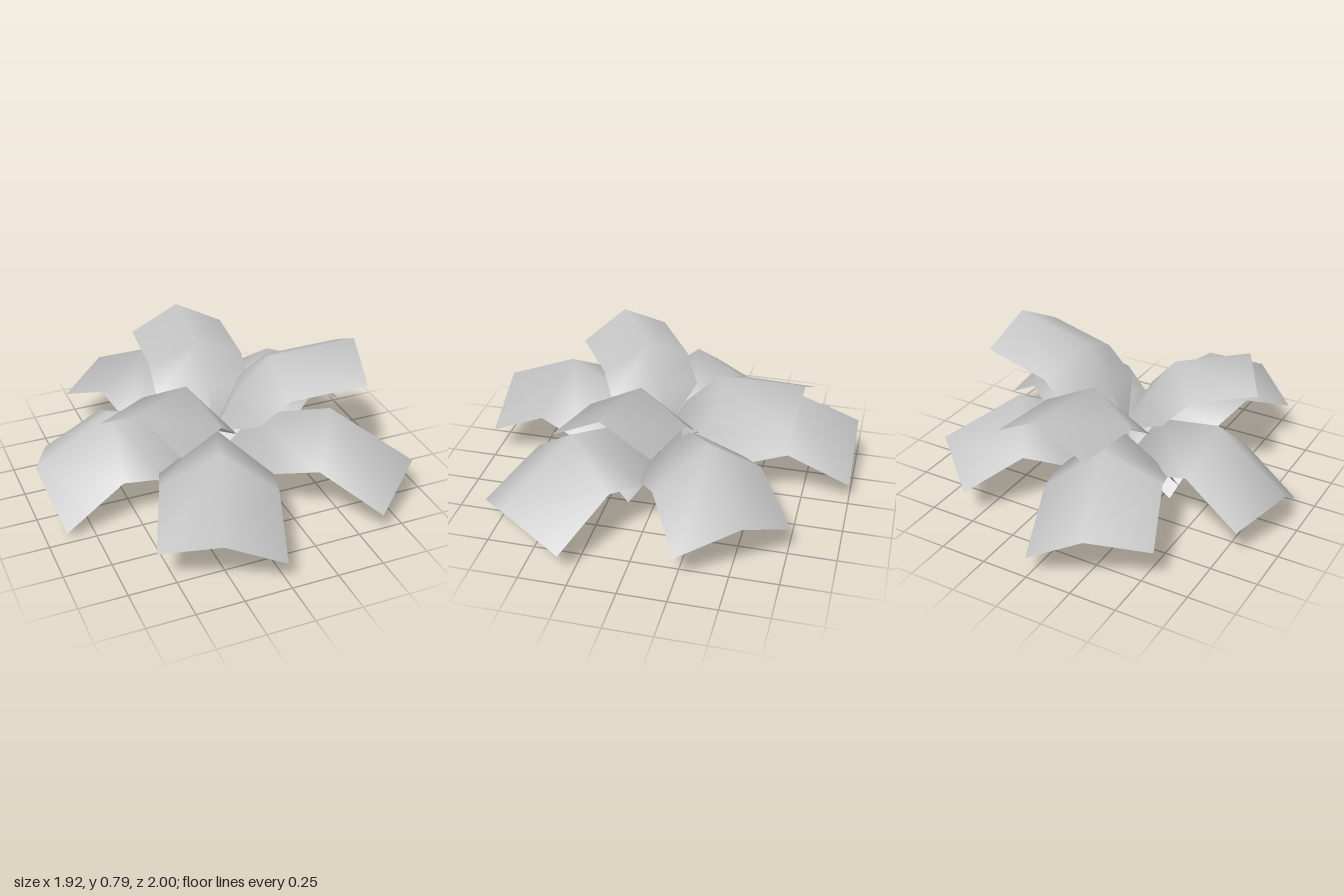
import * as THREE from 'three';

const leafMat = new THREE.MeshStandardMaterial({ color: 0xc4c4c4, side: THREE.DoubleSide });
leafMat.name = 'pale grey leaf';

// Rows run from stalk to tip: [ridge r, ridge y, edge r, edge y, half width]
const UPPER = [
  [0, 0.32, 0, 0.32, 0.004],
  [0.11, 0.52, 0.18, 0.47, 0.265],
  [0.29, 0.715, 0.34, 0.585, 0.262],
  [0.74, 0.745, 0.74, 0.605, 0.262],
];
// The lower leaves start as a wide folded foot standing on the ground
const LOWER = [
  [0, 0.14, 0.04, 0.005, 0.30],
  [0.22, 0.46, 0.38, 0.295, 0.295],
  [0.60, 0.55, 0.60, 0.345, 0.295],
  [1.03, 0.30, 0.93, 0.15, 0.312],
];

// A leaf folded along its ridge, pointing towards (dx, dz); roll tilts it sideways
function leaf(name, rows, dx, dz, { reach = 1, wide = 1, tipLift = 0, roll = 0 } = {}) {
  const len = Math.hypot(dx, dz), ux = dx / len, uz = dz / len;
  const pos = [], index = [];
  rows.forEach(([rr, ry, er, ey, w], i) => {
    const t = i / (rows.length - 1);
    for (const s of [-1, 0, 1]) {
      const r = (s ? er : rr) * reach, side = s * w * wide;
      const y = (s ? ey : ry) + tipLift * t * t + roll * s * t;
      pos.push(ux * r - uz * side, y, uz * r + ux * side);
    }
    if (i === 0) return;
    for (const k of [0, 1]) {
      const a = (i - 1) * 3 + k, b = a + 1, c = a + 3, d = c + 1;
      index.push(a, d, b, a, c, d);
    }
  });
  const geo = new THREE.BufferGeometry();
  geo.setAttribute('position', new THREE.Float32BufferAttribute(pos, 3));
  geo.setIndex(index);
  geo.computeVertexNormals();
  const mesh = new THREE.Mesh(geo, leafMat);
  mesh.name = name;
  return mesh;
}

export function createModel() {
  const plant = new THREE.Group();
  plant.name = 'plant';

  // three raised leaves
  plant.add(
    leaf('upperBackLeaf', UPPER, 0.07, -0.74, { tipLift: -0.02 }),
    leaf('upperLeftLeaf', UPPER, 0.74, 0.135, { reach: 1.02, tipLift: 0.05 }),
    leaf('upperFrontLeaf', UPPER, -0.53, 0.365, { reach: 0.875, wide: 0.92, roll: 0.015 }),
  );

  // five drooping leaves
  plant.add(
    leaf('lowerBackLeaf', LOWER, -0.32, -0.97, { reach: 1.02, tipLift: 0.03, roll: -0.06 }),
    leaf('lowerFrontLeaf', LOWER, -0.335, 0.94, { reach: 1.02, tipLift: 0.05, roll: 0.04 }),
    leaf('lowerFrontLeftLeaf', LOWER, 0.88, 0.63, { reach: 1.03, tipLift: -0.01 }),
    leaf('lowerBackLeftLeaf', LOWER, 0.80, -0.57, { reach: 0.94, tipLift: 0.03 }),
    leaf('lowerRightLeaf', LOWER, -0.96, -0.10, { reach: 0.935, tipLift: -0.04, roll: 0.07 }),
  );
  return plant;
}
